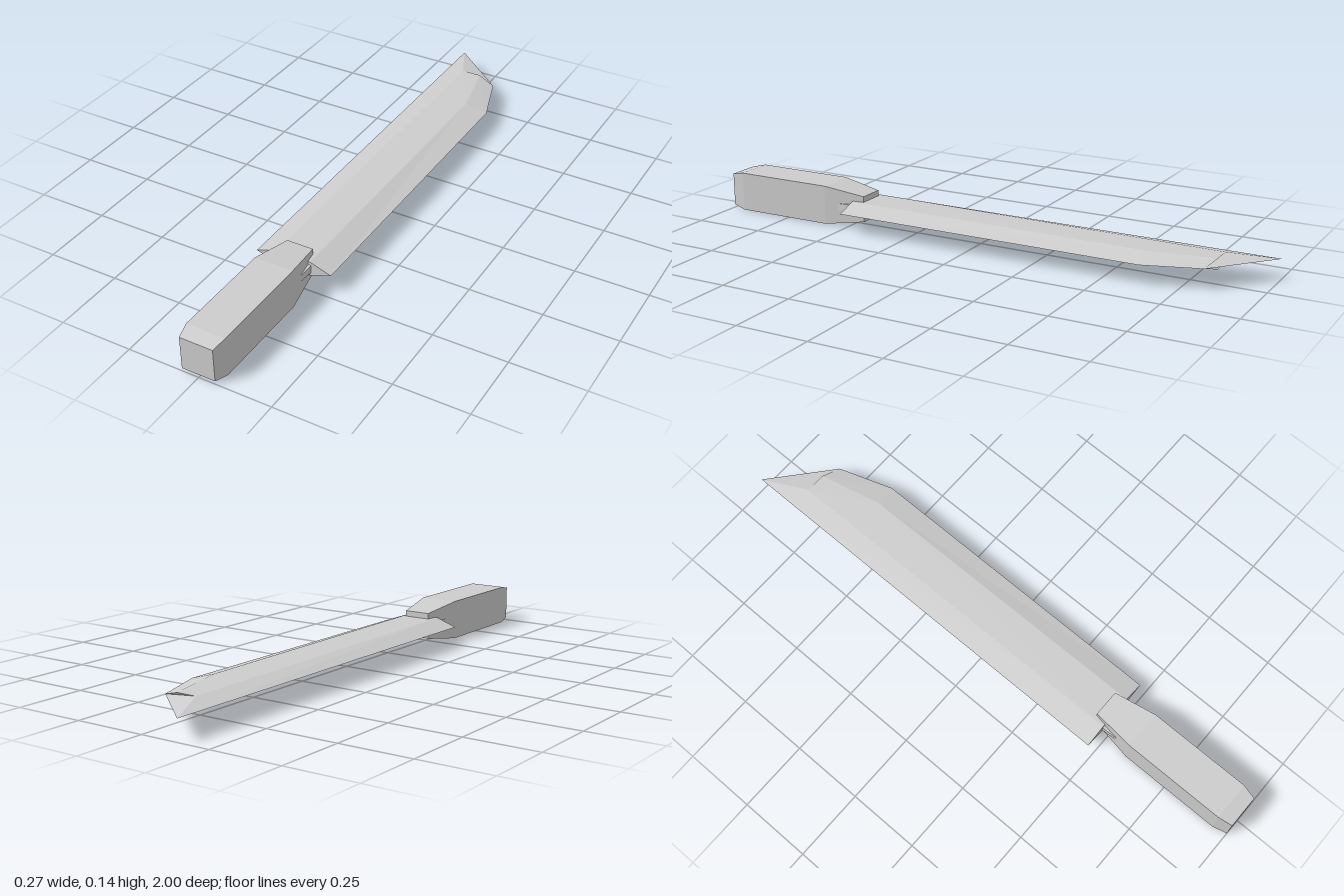
import * as THREE from 'three';

const MID = 0.069; // height of the centre line

// Flat-faced mesh from quads given as four corners, counter-clockwise from outside
function quadMesh(name, quads, material) {
  const pos = quads.flatMap(([a, b, c, d]) => [a, b, c, a, c, d].flat());
  const geo = new THREE.BufferGeometry();
  geo.setAttribute('position', new THREE.Float32BufferAttribute(pos, 3));
  geo.computeVertexNormals();
  const mesh = new THREE.Mesh(geo, material);
  mesh.name = name;
  mesh.position.y = MID;
  return mesh;
}

// Rectangular sections [z, half width, half height], from back (-z) to front (+z)
function loftBox(name, sections, material) {
  const rings = sections.map(([z, w, h]) => [[-w, -h, z], [w, -h, z], [w, h, z], [-w, h, z]]);
  const quads = [[...rings[0]].reverse(), rings[rings.length - 1]];
  for (let i = 0; i < rings.length - 1; i++) {
    for (let k = 0; k < 4; k++) {
      const n = (k + 1) % 4;
      quads.push([rings[i][k], rings[i][n], rings[i + 1][n], rings[i + 1][k]]);
    }
  }
  return quadMesh(name, quads, material);
}

// Blade: sharp outline [x, z] rising to a thicker inner ridge [x, z, half thickness]
function blade(material) {
  const edge = [[-0.137, 0.48], [0.135, 0.48], [0.135, -0.63], [0.072, -0.82], [-0.137, -1]];
  const ridge = [[-0.062, 0.48, 0.026], [0.06, 0.48, 0.026], [0.056, -0.62, 0.022],
    [0.006, -0.84, 0.018], [-0.065, -0.84, 0.018]];
  const quads = [];
  for (const side of [1, -1]) {
    const outer = edge.map(([x, z]) => [x, 0, z]);
    const inner = ridge.map(([x, z, t]) => [x, side * t, z]);
    const faces = edge.map((_, k) => {
      const n = (k + 1) % edge.length;
      return [outer[k], outer[n], inner[n], inner[k]];
    });
    // broad face, split into a long panel and the tip panel
    faces.push([inner[0], inner[1], inner[2], inner[4]]);
    faces.push([inner[2], inner[3], inner[4], inner[4]]);
    quads.push(...(side > 0 ? faces : faces.map((f) => [f[0], f[3], f[2], f[1]])));
  }
  return quadMesh('blade', quads, material);
}

export function createModel() {
  const steel = new THREE.MeshStandardMaterial({ color: 0xcccccc });
  steel.name = 'light grey';

  const model = new THREE.Group();
  model.name = 'machete';
  model.add(
    blade(steel),
    // tang running from the blade into the grip
    loftBox('tang', [[0.475, 0.064, 0.014], [0.56, 0.06, 0.01]], steel),
    // grip, tapered towards the blade and bevelled at the butt
    loftBox('handle', [[0.44, 0.047, 0.046], [0.59, 0.068, 0.069], [0.95, 0.068, 0.069], [1, 0.058, 0.058]], steel),
  );
  return model;
}
